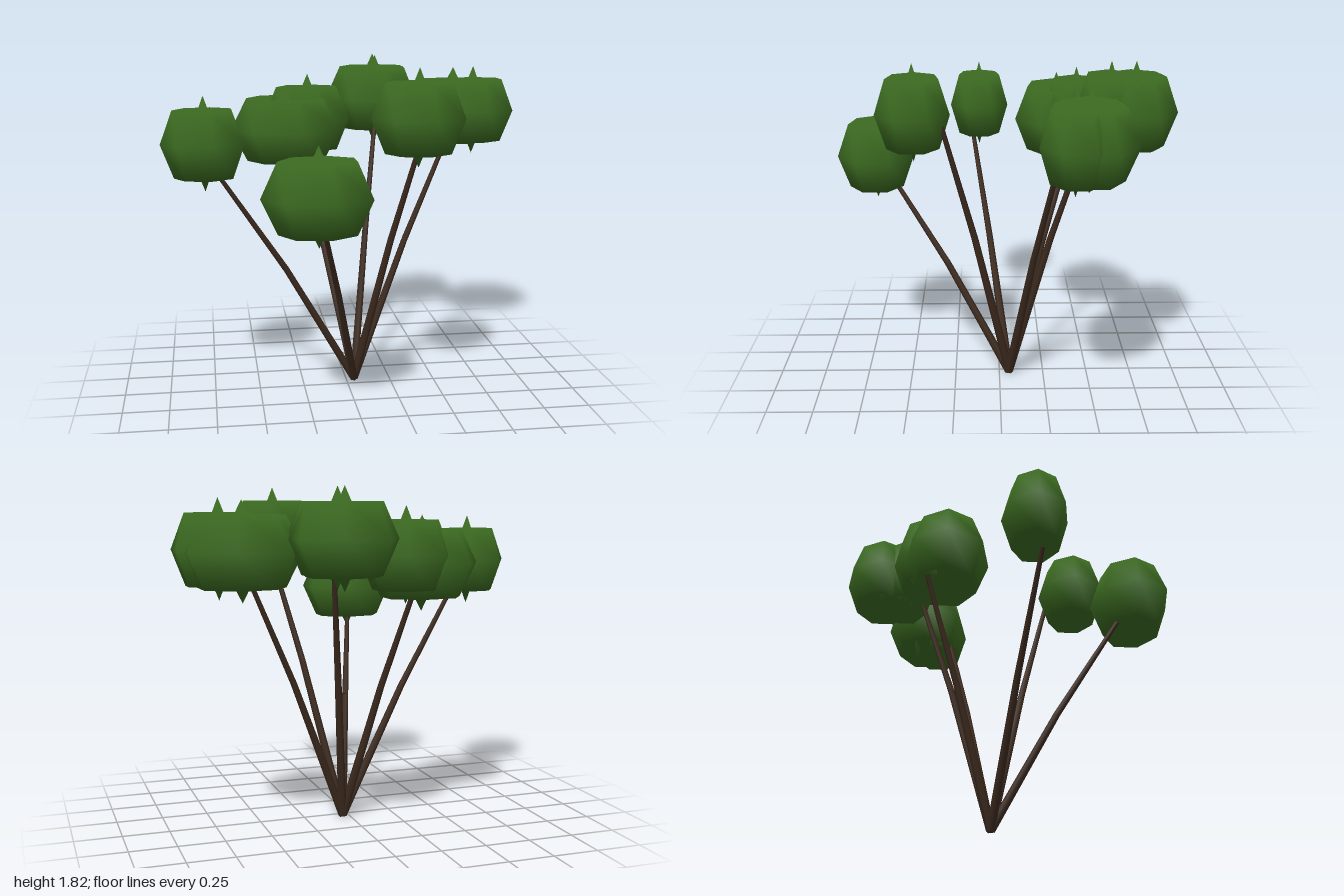
import * as THREE from 'three';

export function createModel() {
  const tree = new THREE.Group();
  tree.name = 'multiStemTree';
  const leafGreen = new THREE.MeshStandardMaterial({ color: 0x3c6b21, side: THREE.DoubleSide });
  leafGreen.name = 'leafGreen';
  const barkBrown = new THREE.MeshStandardMaterial({ color: 0x3d2b1f });
  barkBrown.name = 'barkBrown';

  // Leaf clump: seven-sided sphere whose poles are pulled through to the opposite side,
  // leaving a hollow at each end and a thin spike poking out of the other.
  // Rim and pole normals point straight up or down, the waist stays radial.
  const clump = new THREE.SphereGeometry(1, 7, 4);
  const { position, normal } = clump.attributes;
  for (let i = 0; i < position.count; i++) {
    const y = position.getY(i);
    if (Math.abs(y) > 0.1) normal.setXYZ(i, 0, Math.sign(y), 0);
    if (Math.abs(y) > 0.99) position.setY(i, -y);
  }

  // centre x, y, z and half-width in x and z
  const clumps = [
    [-0.772, 1.412, 0.11, 0.228, 0.175],
    [-0.237, 1.228, 0.687, 0.281, 0.217],
    [0.298, 1.57, 0.443, 0.245, 0.195],
    [-0.305, 1.425, -0.325, 0.317, 0.238],
    [-0.175, 1.475, -0.425, 0.254, 0.193],
    [0.246, 1.57, -0.69, 0.278, 0.215],
    [0.24, 1.57, -0.565, 0.262, 0.193],
    [0.68, 1.505, -0.42, 0.315, 0.242],
    [0.78, 1.515, -0.345, 0.244, 0.18],
  ];
  clumps.forEach(([x, y, z, a, c], i) => {
    const mesh = new THREE.Mesh(clump, leafGreen);
    mesh.name = 'leafClump' + (i + 1);
    mesh.position.set(x, y, z);
    mesh.scale.set(a, 0.252, c);
    tree.add(mesh);
  });

  // Tapered stem section between two points
  const up = new THREE.Vector3(0, 1, 0);
  function section(name, from, to, r0, r1) {
    const dir = to.clone().sub(from);
    const mesh = new THREE.Mesh(new THREE.CylinderGeometry(r1, r0, dir.length(), 6), barkBrown);
    mesh.name = name;
    mesh.position.copy(from).add(to).multiplyScalar(0.5);
    mesh.quaternion.setFromUnitVectors(up, dir.normalize());
    tree.add(mesh);
  }

  // Stems fan out from one root point, each with a slight bend about halfway
  const root = new THREE.Vector3(0.043, 0.01, -0.055);
  const tips = [
    [-0.715, 1.27, 0.152],
    [-0.217, 1.12, 0.615],
    [0.38, 1.57, 0.31],
    [-0.25, 1.38, -0.435],
    [0.235, 1.52, -0.48],
    [0.645, 1.43, -0.285],
  ];
  tips.forEach((t, i) => {
    const tip = new THREE.Vector3(...t);
    const bend = new THREE.Vector3(
      root.x + (tip.x - root.x) * 0.515,
      root.y + (tip.y - root.y) * 0.55,
      root.z + (tip.z - root.z) * 0.515
    );
    section('lowerStem' + (i + 1), root, bend, 0.024, 0.018);
    section('upperStem' + (i + 1), bend, tip, 0.018, 0.012);
  });

  return tree;
}
